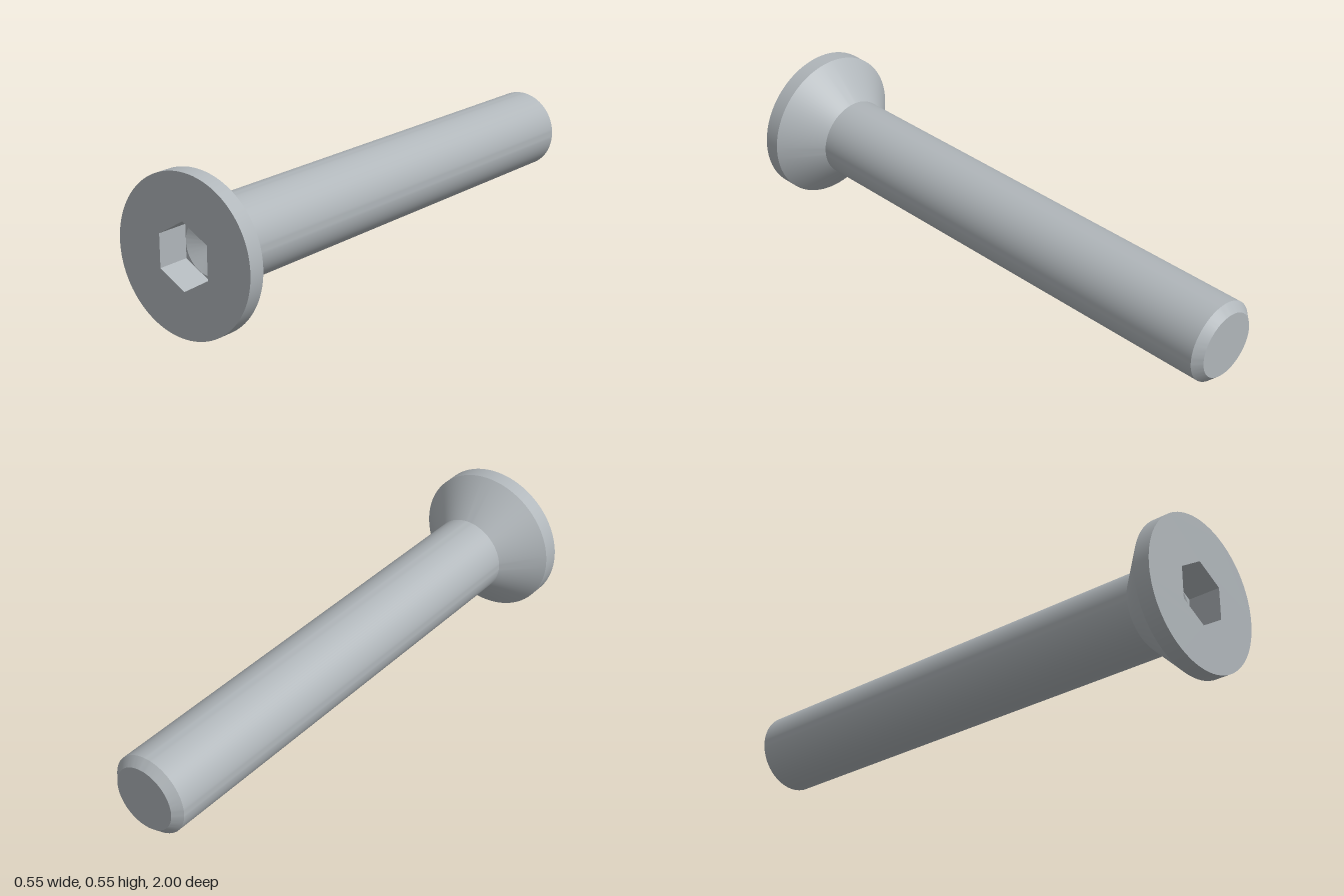
import * as THREE from 'three';
import { toCreasedNormals } from 'three/addons/utils/BufferGeometryUtils.js';

const SEGMENTS = 96;
const HEAD_R = 0.277, SHANK_R = 0.147;
const HEX_R = 0.1165, DRILL_R = 0.1005; // socket corner radius and drilled cone radius
const FRONT = 1, FLOOR = 0.88, CONE_TIP = 0.822;

// Revolves [radius, z] points around the z axis; rising z faces outward, falling z inward
function revolve(profile, segments = SEGMENTS) {
  const points = profile.map(([r, z]) => new THREE.Vector2(r, z));
  const geometry = new THREE.LatheGeometry(points, segments).rotateX(Math.PI / 2);
  return toCreasedNormals(geometry, 0.5);
}

// Regular outline with a corner straight up
function outline(radius, sides) {
  return Array.from({ length: sides }, (_, i) => {
    const a = Math.PI / 2 + (i / sides) * Math.PI * 2;
    return new THREE.Vector2(Math.cos(a) * radius, Math.sin(a) * radius);
  });
}

// Flat face towards +z with a hole in it
function plate(outer, inner, z) {
  const shape = new THREE.Shape(outer);
  shape.holes.push(new THREE.Path(inner));
  return new THREE.ShapeGeometry(shape).translate(0, 0, z);
}

export function createModel() {
  const steel = new THREE.MeshStandardMaterial({ color: 0xb0b6ba });
  steel.name = 'steel';

  const model = new THREE.Group();
  model.name = 'countersunkScrew';
  const add = (name, geometry) => {
    const mesh = new THREE.Mesh(geometry, steel);
    mesh.name = name;
    mesh.position.y = HEAD_R;
    model.add(mesh);
  };

  // Shank with chamfered end
  add('shank', revolve([[0, -1], [0.118, -1], [SHANK_R, -0.971], [SHANK_R, 0.81]]));

  // Countersunk head: cone, short rim and front face
  add('head', revolve([[SHANK_R, 0.81], [HEAD_R, 0.94], [HEAD_R, FRONT]]));
  add('headFace', plate(outline(HEAD_R, SEGMENTS), outline(HEX_R, 6), FRONT));

  // Hexagonal socket with a drilled conical bottom
  add('socketWalls', revolve([[HEX_R, FRONT], [HEX_R, FLOOR]], 6));
  add('socketFloor', plate(outline(HEX_R, 6), outline(DRILL_R, SEGMENTS), FLOOR));
  add('socketCone', revolve([[DRILL_R, FLOOR], [0, CONE_TIP]]));

  return model;
}
